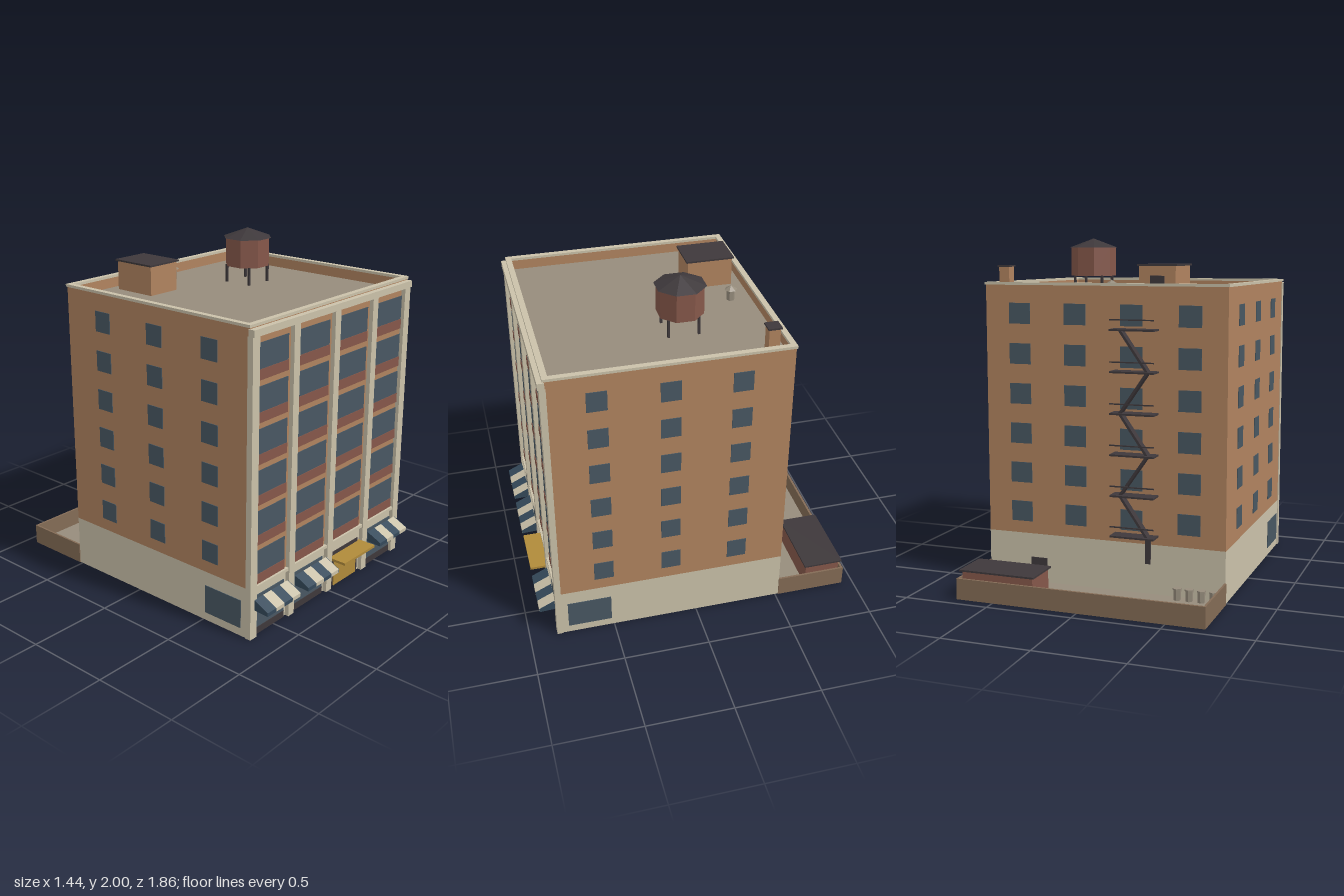
import * as THREE from 'three';

const mat = (name, color) => {
  const m = new THREE.MeshStandardMaterial({ color });
  m.name = name;
  m.flatShading = true;
  return m;
};

export function createModel() {
  const brick = mat('brick', 0xb0835f);
  const stone = mat('stone', 0xcac1a9);
  const glass = mat('glass', 0x485762);
  const rust = mat('rust brown', 0x85574a);
  const charcoal = mat('charcoal', 0x3e383b);
  const gravel = mat('roof gravel', 0x968c7c);
  const gold = mat('gold', 0xb08a3a);
  const navy = mat('awning blue', 0x34495a);
  const earth = mat('yard wall', 0x836b55);

  const model = new THREE.Group();
  model.name = 'building';
  const section = (name) => {
    const g = new THREE.Group();
    g.name = name;
    model.add(g);
    return g;
  };
  const put = (parent, name, geometry, material, x = 0, y = 0, z = 0) => {
    const m = new THREE.Mesh(geometry, material);
    m.name = name;
    m.position.set(x, y, z);
    parent.add(m);
    return m;
  };
  // Box given by its lower and upper limits on each axis
  const box = (parent, name, material, x0, x1, y0, y1, z0, z1) =>
    put(parent, name, new THREE.BoxGeometry(x1 - x0, y1 - y0, z1 - z0), material,
      (x0 + x1) / 2, (y0 + y1) / 2, (z0 + z1) / 2);

  const W = 0.715, BACK = -0.52, FRONT = 0.815, ROOF = 1.67;
  const bays = [-0.54, -0.18, 0.18, 0.54];
  const FLOORS = 6, STEP = 0.229;

  // Main walls
  const walls = section('walls');
  box(walls, 'stoneBase', stone, -W, W, 0, 0.3, BACK, FRONT);
  box(walls, 'brickBody', brick, -W, W, 0.3, ROOF, BACK, FRONT);
  box(walls, 'roofDeck', gravel, -0.695, 0.695, ROOF, ROOF + 0.006, -0.5, 0.79);

  // Parapet and coping: a rectangular ring extruded upward
  const ring = (name, material, x, z0, z1, t, y0, y1) => {
    const rect = (P, a, b, c) => new P([[-a, -b], [a, -b], [a, -c], [-a, -c]]
      .map(([px, py]) => new THREE.Vector2(px, py)));
    const s = rect(THREE.Shape, x, z1, z0);
    s.holes.push(rect(THREE.Path, x - t, z1 - t, z0 + t));
    const g = new THREE.ExtrudeGeometry(s, { depth: y1 - y0, bevelEnabled: false });
    g.rotateX(-Math.PI / 2);
    put(walls, name, g, material, 0, y0, 0);
  };
  ring('parapet', brick, W, BACK, FRONT, 0.022, ROOF, 1.735);
  ring('coping', stone, 0.722, -0.526, 0.822, 0.033, 1.735, 1.75);

  // Front piers, belt course and cornice
  const facade = section('facade');
  for (const [x0, x1] of [[-0.72, -0.665], [-0.385, -0.335], [-0.025, 0.025], [0.335, 0.385], [0.665, 0.72]])
    box(facade, 'pier', stone, x0, x1, 0, 1.69, 0.805, 0.84);
  box(facade, 'beltCourse', stone, -0.7, 0.7, 0.285, 0.303, 0.81, 0.835);
  box(facade, 'cornice', stone, -0.72, 0.72, 1.69, 1.728, 0.81, 0.848);

  // Windows on every floor, front bays with spandrels below them
  const windows = section('windows');
  for (let i = 0; i < FLOORS; i++) {
    const dy = i * STEP;
    for (const x of bays) {
      box(windows, 'frontWindow', glass, x - 0.135, x + 0.135, 0.36 + dy, 0.498 + dy, 0.814, 0.819);
      box(windows, 'spandrel', rust, x - 0.135, x + 0.135, 0.303 + dy, 0.36 + dy, 0.814, 0.822);
    }
    for (const s of [-1, 1])
      for (const z of [0.55, 0.157, -0.237])
        put(windows, 'sideWindow', new THREE.BoxGeometry(0.008, 0.118, 0.112), glass, s * W, 0.43 + dy, z);
    for (const x of [-0.505, -0.168, 0.168, 0.505])
      put(windows, 'backWindow', new THREE.BoxGeometry(0.13, 0.118, 0.008), glass, x, 0.43 + dy, BACK);
  }

  // Ground floor shop fronts, striped awnings and entrance
  const shops = section('shopFronts');
  const wedge = new THREE.Shape([[0, 0.17], [0.093, 0.165], [0.093, 0.187], [0, 0.232]]
    .map(([a, b]) => new THREE.Vector2(a, b)));
  const awningSlice = (parent, name, material, x0, x1) => {
    const g = new THREE.ExtrudeGeometry(wedge, { depth: x1 - x0, bevelEnabled: false });
    g.rotateY(-Math.PI / 2);
    put(parent, name, g, material, x1, 0, 0.838);
    // Profile depth runs along z after the turn
  };
  for (const x of [bays[0], bays[1], bays[3]]) {
    box(shops, 'shopWindow', glass, x - 0.135, x + 0.135, 0.04, 0.235, 0.814, 0.82);
    box(shops, 'shopSill', charcoal, x - 0.135, x + 0.135, 0, 0.04, 0.814, 0.823);
    const awning = new THREE.Group();
    awning.name = 'awning';
    shops.add(awning);
    for (let k = 0; k < 4; k++) {
      const x0 = x - 0.143 + k * 0.0715;
      awningSlice(awning, 'awningStripe', k % 2 ? stone : navy, x0, x0 + 0.0715);
    }
    awningSlice(awning, 'awningCheek', navy, x - 0.146, x - 0.143);
    awningSlice(awning, 'awningCheek', navy, x + 0.143, x + 0.146);
  }
  box(shops, 'entrySurround', charcoal, 0.045, 0.315, 0, 0.22, 0.814, 0.82);
  box(shops, 'entryDoor', gold, 0.068, 0.294, 0, 0.175, 0.816, 0.825);
  box(shops, 'entryCanopy', gold, 0.025, 0.335, 0.183, 0.198, 0.815, 0.93);
  for (const s of [-1, 1])
    put(shops, 'sideShopWindow', new THREE.BoxGeometry(0.008, 0.168, 0.255), glass, s * W, 0.133, 0.642);

  // Water tank on four legs
  const tank = section('waterTank');
  tank.position.set(0.256, 0, -0.01);
  const barrel = new THREE.CylinderGeometry(0.133, 0.133, 0.167, 8).rotateY(Math.PI / 8);
  put(tank, 'tankBarrel', barrel, rust, 0, 1.863, 0);
  put(tank, 'tankRoof', new THREE.ConeGeometry(0.146, 0.055, 8).rotateY(Math.PI / 8), charcoal, 0, 1.9725, 0);
  for (const sx of [-1, 1])
    for (const sz of [-1, 1])
      put(tank, 'tankLeg', new THREE.BoxGeometry(0.013, 0.112, 0.013), charcoal, sx * 0.085, 1.726, sz * 0.085);

  // Stair bulkhead, chimney and vent
  const roofTop = section('roofStructures');
  box(roofTop, 'bulkhead', brick, -0.395, -0.185, ROOF, 1.843, -0.44, -0.175);
  box(roofTop, 'bulkheadCap', charcoal, -0.405, -0.175, 1.843, 1.853, -0.45, -0.165);
  box(roofTop, 'bulkheadDoor', charcoal, -0.33, -0.25, ROOF, 1.79, -0.445, -0.438);
  box(roofTop, 'chimney', brick, 0.605, 0.668, ROOF, 1.835, -0.443, -0.381);
  box(roofTop, 'chimneyCap', charcoal, 0.598, 0.675, 1.835, 1.845, -0.45, -0.374);
  put(roofTop, 'ventPipe', new THREE.CylinderGeometry(0.024, 0.024, 0.07, 6), gravel, 0, 1.705, -0.38);
  put(roofTop, 'ventCap', new THREE.ConeGeometry(0.038, 0.025, 6), gravel, 0, 1.7525, -0.38);

  // Fire escape: landings, rails, zigzag stairs and drop ladder
  const escape = section('fireEscape');
  for (let i = 0; i < FLOORS; i++) {
    const y = 0.35 + i * 0.23;
    box(escape, 'landing', charcoal, -0.327, -0.07, y - 0.005, y + 0.005, -0.61, BACK);
    box(escape, 'rail', charcoal, -0.327, -0.07, y + 0.052, y + 0.059, -0.608, -0.601);
    if (i === FLOORS - 1) break;
    const stair = put(escape, 'stair', new THREE.BoxGeometry(0.014, Math.hypot(0.16, 0.23), 0.05),
      charcoal, -0.2, y + 0.115, -0.562);
    stair.rotation.z = (i % 2 ? 1 : -1) * Math.atan2(0.16, 0.23);
  }
  box(escape, 'dropLadder', charcoal, -0.295, -0.265, 0.2, 0.35, -0.566, -0.556);

  // Rear yard with walls, shed, back door and bins
  const yard = section('yard');
  const END = -0.932;
  box(yard, 'yardFloor', gravel, -0.715, 0.715, 0.002, 0.015, END + 0.005, BACK);
  box(yard, 'yardBackWall', earth, -0.72, 0.72, 0, 0.12, END, END + 0.014);
  for (const s of [-1, 1])
    put(yard, 'yardSideWall', new THREE.BoxGeometry(0.012, 0.12, 0.4), earth, s * 0.714, 0.06, -0.719);
  box(yard, 'shed', rust, 0.265, 0.692, 0, 0.16, -0.91, -0.7);
  box(yard, 'shedRoof', charcoal, 0.252, 0.705, 0.16, 0.17, -0.925, -0.688);
  box(yard, 'backDoor', charcoal, 0.35, 0.45, 0.015, 0.16, BACK - 0.005, BACK + 0.003);
  for (let i = 0; i < 4; i++) {
    const x = -0.662 + i * 0.069;
    put(yard, 'bin', new THREE.CylinderGeometry(0.023, 0.02, 0.06, 6), gravel, x, 0.045, -0.57);
    put(yard, 'binLid', new THREE.CylinderGeometry(0.026, 0.026, 0.008, 6), gravel, x, 0.079, -0.57);
  }
  return model;
}
